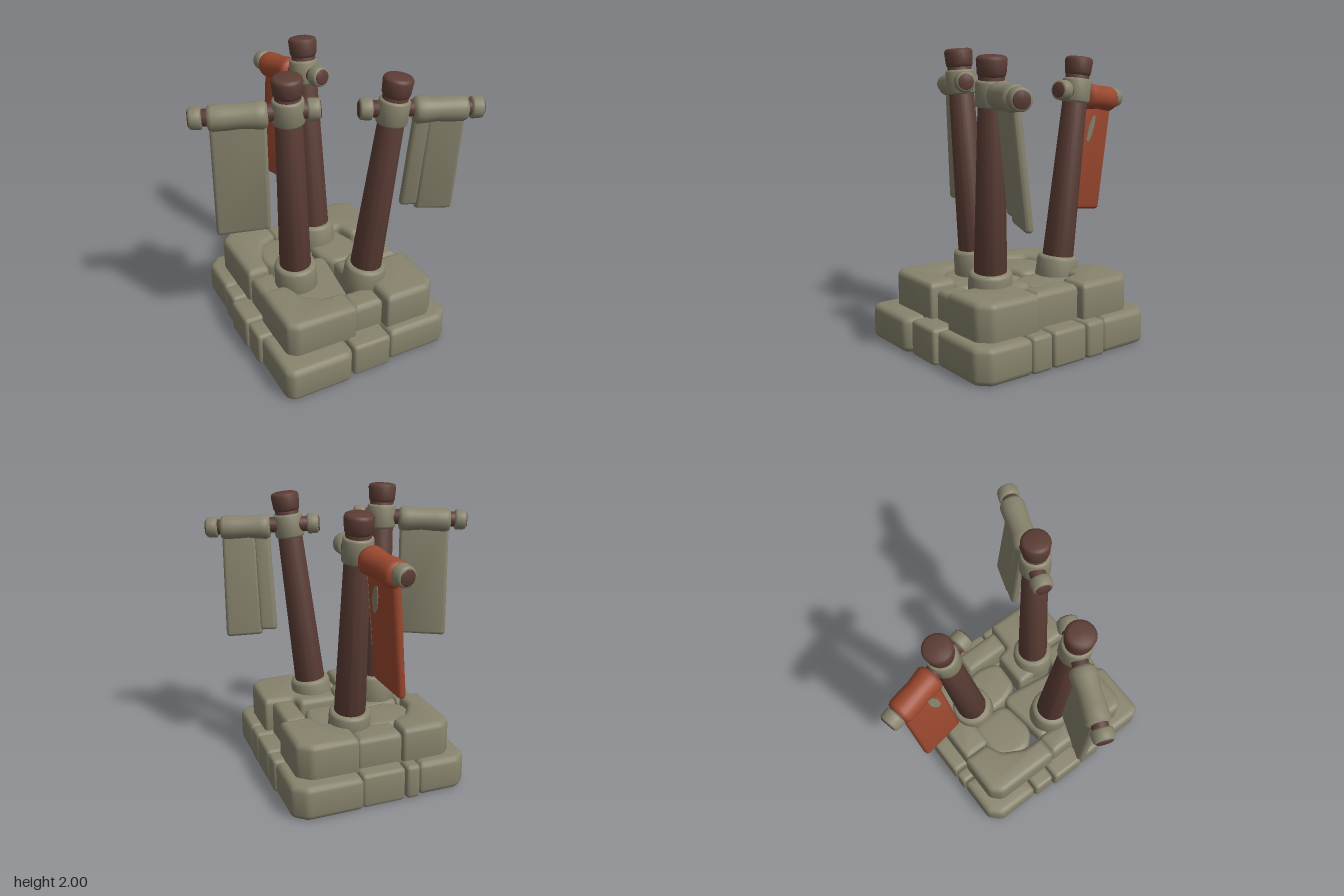
import * as THREE from 'three';
import { toCreasedNormals } from 'three/addons/utils/BufferGeometryUtils.js';
import { RoundedBoxGeometry } from 'three/addons/geometries/RoundedBoxGeometry.js';

// Double sided because the base blocks are open shells underneath
const stoneMat = new THREE.MeshStandardMaterial({ color: 0x87836d, side: THREE.DoubleSide });
stoneMat.name = 'weathered stone grey';
const woodMat = new THREE.MeshStandardMaterial({ color: 0x5c3d35 });
woodMat.name = 'dark wood brown';
const clothMat = new THREE.MeshStandardMaterial({ color: 0x9b482f });
clothMat.name = 'rust orange cloth';

const V = (a) => new THREE.Vector3(...a);
const UP = new THREE.Vector3(0, 1, 0);

function add(parent, name, geo, mat) {
  const mesh = new THREE.Mesh(geo, mat);
  mesh.name = name;
  parent.add(mesh);
  return mesh;
}

// Removes the flat underside of a block
function openBottom(geo, y0) {
  const p = geo.attributes.position, keep = [];
  for (let i = 0; i < p.count; i += 3) {
    const highest = Math.max(p.getY(i), p.getY(i + 1), p.getY(i + 2));
    if (highest > y0 + 1e-4) keep.push(i, i + 1, i + 2);
  }
  geo.clearGroups();
  geo.setIndex(keep);
  return geo.toNonIndexed();
}

// Block with a plan outline of [x, z] points, rounded corners and bevelled edges
function stone(parent, name, pts, y0, y1, cut = 0.028, bevel = 0.04) {
  const s = new THREE.Shape();
  const P = pts.map(([x, z]) => new THREE.Vector2(x, -z));
  P.forEach((p, i) => {
    const toward = (q) => p.clone().lerp(q, Math.min(0.4, cut / p.distanceTo(q)));
    const a = toward(P.at(i - 1)), b = toward(P[(i + 1) % P.length]);
    if (i) s.lineTo(a.x, a.y); else s.moveTo(a.x, a.y);
    s.quadraticCurveTo(p.x, p.y, b.x, b.y);
  });
  s.closePath();
  const geo = new THREE.ExtrudeGeometry(s, {
    depth: y1 - y0 - 2 * bevel, bevelThickness: bevel, bevelSize: bevel,
    bevelOffset: -bevel, bevelSegments: 3, curveSegments: 4,
  });
  geo.rotateX(-Math.PI / 2).translate(0, y0 + bevel, 0);
  return add(parent, name, toCreasedNormals(openBottom(geo, y0), 0.7), stoneMat);
}
const rect = (x0, x1, z0, z1) => [[x0, z0], [x1, z0], [x1, z1], [x0, z1]];

// Solid turned piece from point a to point b with softened rims
function barrel(parent, name, a, b, r0, r1, mat, bevel = 0.02) {
  const dir = b.clone().sub(a), len = dir.length(), k = bevel * 0.3;
  const prof = [[0, 0], [r0 - bevel, 0], [r0 - k, k], [r0, bevel],
    [r1, len - bevel], [r1 - k, len - k], [r1 - bevel, len], [0, len]];
  const geo = new THREE.LatheGeometry(prof.map(([x, y]) => new THREE.Vector2(x, y)), 24);
  const mesh = add(parent, name, toCreasedNormals(geo, 0.9), mat);
  mesh.position.copy(a);
  mesh.quaternion.setFromUnitVectors(UP, dir.normalize());
  return mesh;
}

// Maps a flat panel (centred, L wide, H high) onto four hanging corners
function hang(geo, L, H, [to, ti, bo, bi]) {
  const pos = geo.attributes.position;
  const n = ti.clone().sub(to).setY(0).normalize().cross(UP);
  for (let i = 0; i < pos.count; i++) {
    const u = pos.getX(i) / L + 0.5, v = 0.5 - pos.getY(i) / H;
    const p = to.clone().lerp(ti, u).lerp(bo.clone().lerp(bi, u), v).addScaledVector(n, pos.getZ(i));
    pos.setXYZ(i, p.x, p.y, p.z);
  }
  return toCreasedNormals(geo, 0.7);
}

const CLOTH = 0.06;
function panel(parent, name, corners, mat) {
  const L = corners[0].distanceTo(corners[1]), H = corners[0].distanceTo(corners[2]);
  add(parent, name, hang(new RoundedBoxGeometry(L, H, CLOTH, 3, 0.026), L, H, corners), mat);
}

// Thin plate on a cloth panel, outlined in panel fractions [across, down]
function patch(parent, name, corners, uv, w, depth) {
  const L = corners[0].distanceTo(corners[1]), H = corners[0].distanceTo(corners[2]);
  const s = new THREE.Shape(uv.map(([u, v]) => new THREE.Vector2((u - 0.5) * L, (0.5 - v) * H)));
  const geo = new THREE.ExtrudeGeometry(s, { depth, bevelEnabled: false }).translate(0, 0, w);
  add(parent, name, hang(geo, L, H, corners), stoneMat);
}

function buildBase(root) {
  const base = new THREE.Group();
  base.name = 'stoneBase';
  root.add(base);
  // Lower corner blocks with cut outer corners
  stone(base, 'lowerCornerBackRight', [[-0.53, -0.57], [-0.24, -0.57], [-0.24, -0.18], [-0.61, -0.18], [-0.61, -0.49]], 0, 0.24);
  stone(base, 'lowerCornerBackLeft', [[0.18, -0.6], [0.57, -0.6], [0.66, -0.52], [0.66, -0.17], [0.18, -0.17]], 0, 0.24);
  stone(base, 'lowerCornerFrontRight', [[-0.61, 0.45], [-0.12, 0.45], [-0.12, 0.82], [-0.16, 0.87], [-0.57, 0.87], [-0.61, 0.82]], 0, 0.24);
  stone(base, 'lowerCornerFrontLeft', [[0.18, 0.43], [0.67, 0.43], [0.67, 0.74], [0.59, 0.82], [0.18, 0.82]], 0, 0.24);
  // Small lower blocks between the corners
  [[-0.11, 0.17, 0.5, 0.84], [-0.24, -0.14, -0.58, -0.28], [-0.13, 0.18, -0.58, -0.26],
    [-0.62, -0.34, -0.17, -0.01], [-0.64, -0.32, 0, 0.26], [-0.63, -0.34, 0.27, 0.45],
    [0.39, 0.67, -0.17, -0.02], [0.37, 0.67, -0.01, 0.26], [0.39, 0.67, 0.27, 0.43],
  ].forEach((r) => stone(base, 'lowerBlock', rect(...r), 0, 0.24, 0.03, 0.025));
  // Upper corner blocks, hollowed towards the middle
  stone(base, 'upperCornerBackRight', [[-0.45, -0.49], [-0.15, -0.49], [-0.15, -0.3], [-0.27, -0.24], [-0.35, -0.1], [-0.36, 0.06], [-0.52, 0.06], [-0.52, -0.42]], 0.2, 0.48);
  stone(base, 'upperCornerBackLeft', [[0.17, -0.5], [0.5, -0.5], [0.59, -0.42], [0.59, -0.05], [0.37, -0.05], [0.33, -0.18], [0.17, -0.2]], 0.2, 0.48);
  stone(base, 'upperCornerFrontRight', [[-0.53, 0.28], [-0.34, 0.28], [-0.3, 0.43], [-0.2, 0.52], [-0.03, 0.53], [-0.03, 0.73], [-0.47, 0.73], [-0.53, 0.68]], 0.2, 0.48);
  stone(base, 'upperCornerFrontLeft', [[0.07, 0.2], [0.35, 0.2], [0.37, 0.3], [0.59, 0.31], [0.59, 0.67], [0.51, 0.75], [0.19, 0.75], [0.19, 0.53], [0.07, 0.5]], 0.2, 0.48);
  // Upper side blocks
  stone(base, 'upperBlockFront', rect(-0.03, 0.19, 0.5, 0.69), 0.18, 0.435);
  stone(base, 'upperBlockBack', rect(-0.15, 0.17, -0.47, -0.26), 0.18, 0.45);
  stone(base, 'upperBlockLeft', rect(0.38, 0.54, -0.05, 0.3), 0.18, 0.47);
  stone(base, 'upperBlockRight', rect(-0.51, -0.34, 0.06, 0.29), 0.18, 0.44);
  // Worn paving in the middle
  stone(base, 'pavingBack', [[-0.25, -0.3], [0.03, -0.3], [0.03, 0.01], [-0.25, 0.05], [-0.36, -0.05], [-0.34, -0.2]], 0.25, 0.45, 0.08);
  stone(base, 'pavingLeft', [[0.03, -0.3], [0.3, -0.25], [0.38, 0], [0.33, 0.18], [0.1, 0.17], [0.04, 0.04]], 0.25, 0.44, 0.06);
  stone(base, 'pavingFront', [[-0.36, 0.07], [0.03, 0.02], [0.08, 0.06], [0.06, 0.2], [0.01, 0.54], [-0.36, 0.54]], 0.25, 0.43, 0.05);
}

// foot and top of the pole, both bar ends, and cloth corners (top outer, top inner, bottom outer, bottom inner)
const POSTS = [
  { name: 'rightPost', foot: [-0.24, 0.45, 0.235], top: [-0.32, 1.994, 0.305], collarTop: 0.605, grip: 1.77,
    outer: [-0.865, 1.74, 0.065], inner: [-0.125, 1.775, 0.37], mat: stoneMat, roll: 0.085,
    cloth: [[-0.75, 1.738, 0.11], [-0.43, 1.75, 0.245], [-0.74, 0.89, 0.09], [-0.405, 0.915, 0.21]] },
  { name: 'leftPost', foot: [0.195, 0.45, 0.415], top: [0.34, 1.943, 0.495], collarTop: 0.57, grip: 1.715,
    outer: [0.865, 1.7, 0.67], inner: [0.12, 1.73, 0.395], mat: stoneMat, roll: 0.085, folded: true,
    cloth: [[0.76, 1.7, 0.63], [0.45, 1.705, 0.517], [0.785, 0.925, 0.55], [0.44, 0.95, 0.43]] },
  { name: 'backPost', foot: [0.132, 0.45, -0.2], top: [0.135, 1.938, -0.395], collarTop: 0.565, grip: 1.71,
    outer: [0.022, 1.64, -0.865], inner: [0.175, 1.72, -0.17], mat: clothMat, roll: 0.092, patched: true,
    cloth: [[0.042, 1.635, -0.77], [0.105, 1.67, -0.475], [-0.03, 0.815, -0.72], [0.015, 0.855, -0.405]] },
];

function buildPost(root, d) {
  const g = new THREE.Group();
  g.name = d.name;
  root.add(g);
  const foot = V(d.foot), top = V(d.top);
  const at = (y) => foot.clone().lerp(top, (y - foot.y) / (top.y - foot.y));
  // Leaning pole with foot ring, grip ring and head
  barrel(g, 'pole', at(0.3), at(top.y - 0.03), 0.114, 0.08, woodMat, 0.005);
  barrel(g, 'footRing', at(0.36), at(d.collarTop), 0.149, 0.143, stoneMat, 0.025);
  barrel(g, 'gripRing', at(d.grip - 0.082), at(d.grip + 0.082), 0.103, 0.1, stoneMat, 0.016);
  barrel(g, 'poleHead', at(top.y - 0.13), at(top.y), 0.091, 0.097, woodMat, 0.024);
  // Crossbar with ringed ends
  const o = V(d.outer), i = V(d.inner);
  const dir = i.clone().sub(o).normalize();
  barrel(g, 'crossbar', o, i, 0.053, 0.053, woodMat, 0.005);
  [[o, 1], [i, -1]].forEach(([end, s]) => {
    const off = (t) => end.clone().addScaledVector(dir, t * s);
    barrel(g, 'barEndRing', off(0.005), off(0.085), 0.068, 0.072, stoneMat, 0.014);
    barrel(g, 'barEndFace', off(0), off(0.012), 0.052, 0.054, woodMat, 0.003);
  });
  // Cloth wrapped over the bar, slightly pinched in the middle
  const c = d.cloth.map(V);
  const len = c[0].distanceTo(c[1]) + 0.02, r = d.roll;
  const prof = [[0.05, 0], [r - 0.014, 0.006], [r - 0.002, 0.03], [r - 0.003, len * 0.3], [r - 0.008, len * 0.55],
    [r, len * 0.8], [r + 0.003, len - 0.03], [r - 0.012, len - 0.006], [0.05, len]];
  const roll = add(g, 'clothRoll', new THREE.LatheGeometry(prof.map(([x, y]) => new THREE.Vector2(x, y)), 24), d.mat);
  roll.position.copy(c[0]).addScaledVector(dir, -0.01);
  roll.quaternion.setFromUnitVectors(UP, c[1].clone().sub(c[0]).normalize());
  // Hanging cloth, in two overlapping folds where it is creased
  if (d.folded) {
    const mid = (a, b, t) => a.clone().lerp(b, t);
    panel(g, 'clothOuterFold', [c[0], mid(c[0], c[1], 0.72), c[2], mid(c[2], c[3], 0.72)], d.mat);
    const low = mid(c[2], c[3], 0.66).setY(0.975);
    panel(g, 'clothInnerFold', [mid(c[0], c[1], 0.66), c[1], low, c[3].clone().setY(0.975)], d.mat);
  } else panel(g, 'cloth', c, d.mat);
  // Faded spots and worn edge
  if (d.patched) {
    const spot = [[0.6, 0.16], [0.7, 0.17], [0.8, 0.26], [0.83, 0.38], [0.76, 0.4], [0.66, 0.34], [0.6, 0.24]];
    [-1, 1].forEach((s) => patch(g, 'fadedSpot', c, spot, s * CLOTH / 2 - 0.004, 0.008));
    patch(g, 'wornEdge', c, [[0.985, 0.1], [1.008, 0.1], [1.008, 0.7], [0.985, 0.7]], -0.022, 0.044);
  }
}

export function createModel() {
  const root = new THREE.Group();
  root.name = 'bannerShrine';
  buildBase(root);
  POSTS.forEach((d) => buildPost(root, d));
  return root;
}
